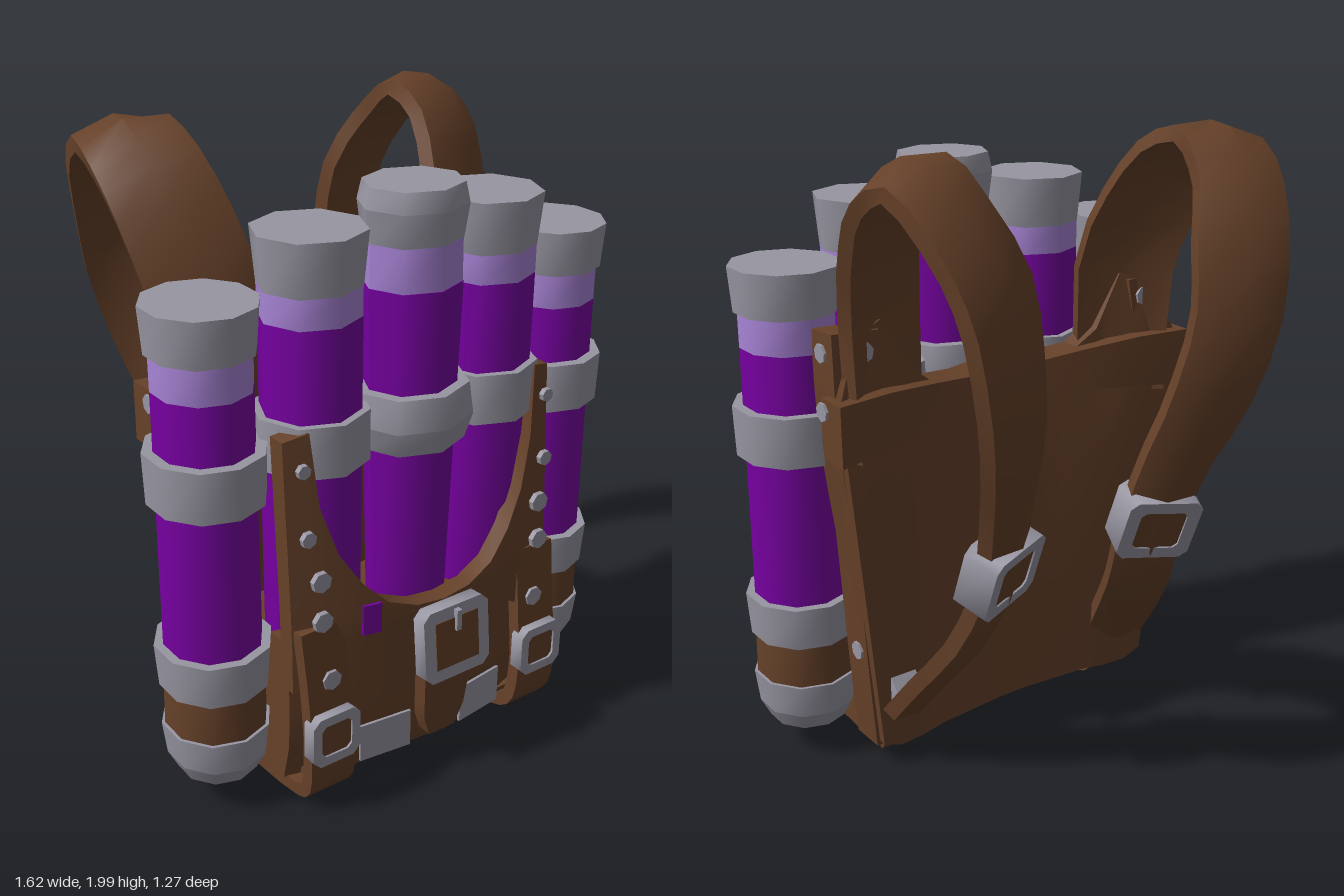
import * as THREE from 'three';
import { toCreasedNormals } from 'three/addons/utils/BufferGeometryUtils.js';

const paint = (name, color) => {
  const m = new THREE.MeshStandardMaterial({ color });
  m.name = name;
  return m;
};

export function createModel() {
  const root = new THREE.Group();
  root.name = 'backpack';
  const leather = paint('leather brown', 0x664129);
  const metal = paint('metal grey', 0x9896a2);
  const liquid = paint('liquid purple', 0x7600a0);
  const glass = paint('pale purple', 0xa884d6);

  const add = (name, geo, mat, parent = root) => {
    const mesh = new THREE.Mesh(toCreasedNormals(geo, 0.8), mat);
    mesh.name = name;
    parent.add(mesh);
    return mesh;
  };
  const box = (name, mat, x0, x1, y0, y1, z0, z1) => {
    const g = new THREE.BoxGeometry(x1 - x0, y1 - y0, z1 - z0);
    return add(name, g.translate((x0 + x1) / 2, (y0 + y1) / 2, (z0 + z1) / 2), mat);
  };
  // A segmented unit box whose vertices are moved by a rule
  const mapped = (nx, ny, nz, rule) => {
    const g = new THREE.BoxGeometry(1, 1, 1, nx, ny, nz);
    const p = g.attributes.position;
    for (let i = 0; i < p.count; i++) {
      const v = rule(p.getX(i), p.getY(i), p.getZ(i));
      p.setXYZ(i, v[0], v[1], v[2]);
    }
    return g;
  };
  // Symmetric panel: columns [x, bottom, top], surface depth(x, y), thickness
  const panel = (cols, ny, depth, thick, taper = 1) => {
    const n = cols.length - 1;
    return mapped(2 * n, ny, 1, (u, v, w) => {
      const [cx, lo, hi] = cols[Math.round(Math.abs(u) * 2 * n)];
      const t = v + 0.5;
      const x = Math.sign(u) * cx * (taper + (1 - taper) * t);
      const y = lo + (hi - lo) * t;
      return [x, y, depth(Math.abs(x), y) + (w - 0.5) * thick];
    });
  };
  // Flat strap swept along points [x, y, z, halfWidth], its middle raised by crown
  const ribbon = (pts, thick, n, across = [1, 0, 0], crown = 0) => {
    const curve = new THREE.CatmullRomCurve3(pts.map((p) => new THREE.Vector3(p[0], p[1], p[2])));
    return mapped(2, 1, n, (u, v, w) => {
      const t = Math.min(1, Math.max(0, w + 0.5));
      const k = t * (pts.length - 1);
      const i = Math.min(pts.length - 2, Math.floor(k));
      const half = pts[i][3] + (pts[i + 1][3] - pts[i][3]) * (k - i);
      const tan = curve.getTangent(t);
      const side = new THREE.Vector3(...across);
      side.addScaledVector(tan, -side.dot(tan)).normalize();
      const nrm = tan.clone().cross(side);
      return curve.getPoint(t).addScaledVector(side, u * 2 * half)
        .addScaledVector(nrm, v * thick - crown * (1 - 2 * Math.abs(u))).toArray();
    });
  };
  // Buckle: chamfered frame with a leather pad in its opening
  const buckle = (name, x, y, z, w, h, d, rotX = 0, rotY = 0, pad = 0.7) => {
    const outline = (T, a, b, c) => {
      const s = new T();
      [[-a + c, -b], [a - c, -b], [a, -b + c], [a, b - c], [a - c, b], [-a + c, b], [-a, b - c], [-a, -b + c]]
        .forEach(([px, py], i) => (i ? s.lineTo(px, py) : s.moveTo(px, py)));
      s.closePath();
      return s;
    };
    const shape = outline(THREE.Shape, w / 2, h / 2, 0.025);
    shape.holes.push(outline(THREE.Path, w * 0.32, h * 0.32, 0.015));
    const g = new THREE.Group();
    g.name = name;
    add('buckleFrame', new THREE.ExtrudeGeometry(shape, { depth: d, bevelEnabled: false }).translate(0, 0, -d / 2), metal, g);
    add('bucklePad', new THREE.BoxGeometry(w * 0.66, h * 0.66, d * pad), leather, g);
    g.position.set(x, y, z);
    g.rotation.set(rotX, rotY, 0);
    root.add(g);
  };
  const rivet = (x, y, z, r = 0.03) => add('rivet',
    new THREE.CylinderGeometry(r, r, 0.018, 7).rotateX(Math.PI / 2).translate(x, y, z), metal);

  // Tubes: stacked bands [name, material, y0, y1, r0, r1]
  const tube = (name, x, z, sides, flat, bands) => {
    const g = new THREE.Group();
    g.name = name;
    for (const [part, mat, y0, y1, r0, r1] of bands) {
      add(part, new THREE.CylinderGeometry(r1, r0, y1 - y0, sides).scale(1, 1, flat).translate(0, (y0 + y1) / 2, 0), mat, g);
    }
    g.position.set(x, 0, z);
    root.add(g);
  };
  tube('centreTube', 0, 0.36, 8, 0.92, [
    ['cap', metal, 1.70, 1.80, 0.152, 0.166], ['capTop', metal, 1.80, 1.86, 0.166, 0.152],
    ['clearBand', glass, 1.57, 1.71, 0.152, 0.15], ['liquid', liquid, 0.4, 1.57, 0.125, 0.155],
    ['ringLower', metal, 1.08, 1.16, 0.175, 0.2], ['ringUpper', metal, 1.16, 1.26, 0.2, 0.185]]);
  for (const s of [-1, 1]) {
    tube('middleTube', s * 0.32, 0.31, 8, 1, [
      ['cap', metal, 1.61, 1.77, 0.153, 0.168],
      ['clearBand', glass, 1.52, 1.62, 0.152, 0.152], ['liquid', liquid, 0.35, 1.52, 0.148, 0.152],
      ['ring', metal, 1.08, 1.24, 0.175, 0.175]]);
    tube('outerTube', s * 0.64, 0.255, 10, 1.04, [
      ['cap', metal, 1.47, 1.61, 0.158, 0.168],
      ['clearBand', glass, 1.36, 1.48, 0.146, 0.146], ['liquid', liquid, 0.5, 1.36, 0.15, 0.146],
      ['ring', metal, 1.02, 1.18, 0.175, 0.18], ['lowerRing', metal, 0.41, 0.55, 0.168, 0.178],
      ['holder', leather, 0.26, 0.43, 0.158, 0.155],
      ['foot', metal, 0.16, 0.27, 0.155, 0.168], ['footTip', metal, 0.1, 0.16, 0.125, 0.155]]);
  }

  // Bag body
  box('lowerBody', leather, -0.49, 0.49, 0.05, 0.5, 0.06, 0.4);
  box('base', leather, -0.44, 0.44, 0.035, 0.08, 0.02, 0.46);

  // Front pouch and its curved flap
  const front = (x, y) => 0.555 - 0.38 * x * x - Math.max(0, y - 0.6) * 0.06 - Math.max(0, 0.2 - y) * 0.25;
  add('pouchFront', panel([[0, 0.05, 0.55], [0.17, 0.05, 0.55], [0.34, 0.05, 0.55], [0.49, 0.05, 0.55]], 4,
    (x, y) => front(x, y) - 0.03, 0.1), leather);
  add('frontFlap', panel([[0, 0.42, 0.6], [0.1, 0.45, 0.61], [0.2, 0.49, 0.65], [0.28, 0.48, 0.73], [0.35, 0.43, 0.84],
    [0.4, 0.4, 1.0], [0.42, 0.4, 1.23], [0.495, 0.4, 1.21]], 6, front, 0.06), leather);
  add('flapSpot', new THREE.BoxGeometry(0.06, 0.1, 0.009).rotateY(-0.2).translate(-0.275, 0.63, 0.556), liquid);
  for (const s of [-1, 1]) {
    add('trimPlate', new THREE.BoxGeometry(0.18, 0.13, 0.009).rotateY(s * 0.12).translate(s * 0.19, 0.15, 0.517), metal);
    // Strap running down the front, under the base and up the back
    add('baseStrap', ribbon([[s * 0.415, 0.62, 0.48, 0.075], [s * 0.41, 0.4, 0.51, 0.075], [s * 0.41, 0.2, 0.53, 0.08],
      [s * 0.405, 0.07, 0.505, 0.08], [s * 0.4, 0.03, 0.42, 0.08], [s * 0.41, 0.028, 0.05, 0.085],
      [s * 0.43, 0.07, -0.005, 0.09], [s * 0.44, 0.3, -0.01, 0.08]], 0.045, 20), leather);
    buckle('sideBuckle', s * 0.41, 0.27, 0.545, 0.17, 0.17, 0.05);
    for (const [x, y, r] of [[0.42, 0.78, 0.033], [0.42, 0.65, 0.033], [0.4, 0.45, 0.033], [0.45, 0.92, 0.025], [0.455, 1.13, 0.022]]) {
      rivet(s * x, y, front(x, y) + (y < 0.5 ? 0.03 : 0.026), r);
    }
  }
  add('beltTongue', mapped(2, 4, 1, (u, v, w) => [u * (0.17 + 0.05 * v) * (v < -0.4 ? 0.7 : 1), 0.27 + v * 0.3,
    0.555 + 0.03 * v + w * 0.05]), leather);
  buckle('mainBuckle', 0, 0.485, 0.598, 0.25, 0.24, 0.05, -0.1, 0, 1.1);
  add('bucklePin', new THREE.BoxGeometry(0.018, 0.07, 0.02).translate(0, 0.56, 0.62), metal);

  // Back panel: hollowed at the middle, leaning forward to the top, with raised ears
  const back = (x, y) => {
    const middle = 0.055 + 0.11 * Math.min(1, y / 1.2);
    return middle + (0.01 - middle) * Math.min(1, x / 0.58) + Math.max(0, y - 1.25) * 0.2;
  };
  add('backPanel', panel([[0, 0.06, 1.19], [0.25, 0.06, 1.21], [0.36, 0.06, 1.29], [0.46, 0.05, 1.46],
    [0.57, 0.05, 1.43], [0.65, 0.08, 1.24]], 5, back, 0.07, 0.83), leather);
  add('topRim', panel([[0, 1.1, 1.22], [0.15, 1.1, 1.22], [0.3, 1.1, 1.24], [0.48, 1.09, 1.26], [0.67, 1.07, 1.26]], 1,
    back, 0.11), leather);
  box('backPlate', metal, -0.2, 0.2, 0.1, 0.21, 0.008, 0.017);

  for (const s of [-1, 1]) {
    add('sideBinding', ribbon([[s * 0.49, 0.07, 0.03, 0.06], [s * 0.52, 0.4, 0.03, 0.055], [s * 0.545, 0.8, 0.03, 0.055],
      [s * 0.58, 1.1, 0.03, 0.06], [s * 0.56, 1.44, 0.05, 0.08]], 0.12, 8), leather);
    // Shoulder strap loop, twisted so its inner edge sits further forward
    add('shoulderStrap', ribbon([[s * 0.46, 1.06, 0.0, 0.15], [s * 0.47, 1.5, 0.0, 0.165], [s * 0.51, 1.72, -0.08, 0.16],
      [s * 0.54, 1.87, -0.19, 0.15], [s * 0.54, 1.925, -0.33, 0.14], [s * 0.51, 1.83, -0.45, 0.14],
      [s * 0.45, 1.66, -0.535, 0.15], [s * 0.42, 1.45, -0.565, 0.14], [s * 0.37, 1.2, -0.52, 0.13],
      [s * 0.32, 0.95, -0.42, 0.11], [s * 0.3, 0.72, -0.345, 0.105], [s * 0.34, 0.52, -0.26, 0.105],
      [s * 0.4, 0.35, -0.14, 0.105], [s * 0.44, 0.2, -0.03, 0.1]], 0.05, 28, [1, -0.18 * s, -0.38 * s], 0.04), leather);
    buckle('strapBuckle', s * 0.305, 0.755, -0.362, 0.25, 0.23, 0.12, Math.PI - 0.36, -0.34 * s, 0.9);
    add('strapClasp', new THREE.BoxGeometry(0.09, 0.1, 0.1).rotateX(0.7).translate(s * 0.46, 0.24, -0.05), metal);
    // Rivets on the back edges and rim
    for (const [x, y, z] of [[0.5, 0.12, -0.03], [0.52, 0.4, -0.035], [0.545, 0.7, -0.035], [0.575, 1.0, -0.035],
      [0.62, 1.17, -0.05], [0.14, 1.16, back(0.14, 1.16) - 0.057], [0.33, 1.16, back(0.33, 1.16) - 0.057],
      [0.54, 1.38, -0.014], [0.29, 0.15, back(0.29, 0.15) - 0.038]]) {
      rivet(s * x, y, z, 0.033);
    }
    for (const [x, y, z] of [[0.64, 1.38, 0.05], [0.67, 1.22, 0.0], [0.575, 0.4, 0.02]]) {
      const r = rivet(0, 0, 0);
      r.rotation.y = Math.PI / 2;
      r.position.set(s * x, y, z);
    }
  }
  return root;
}
